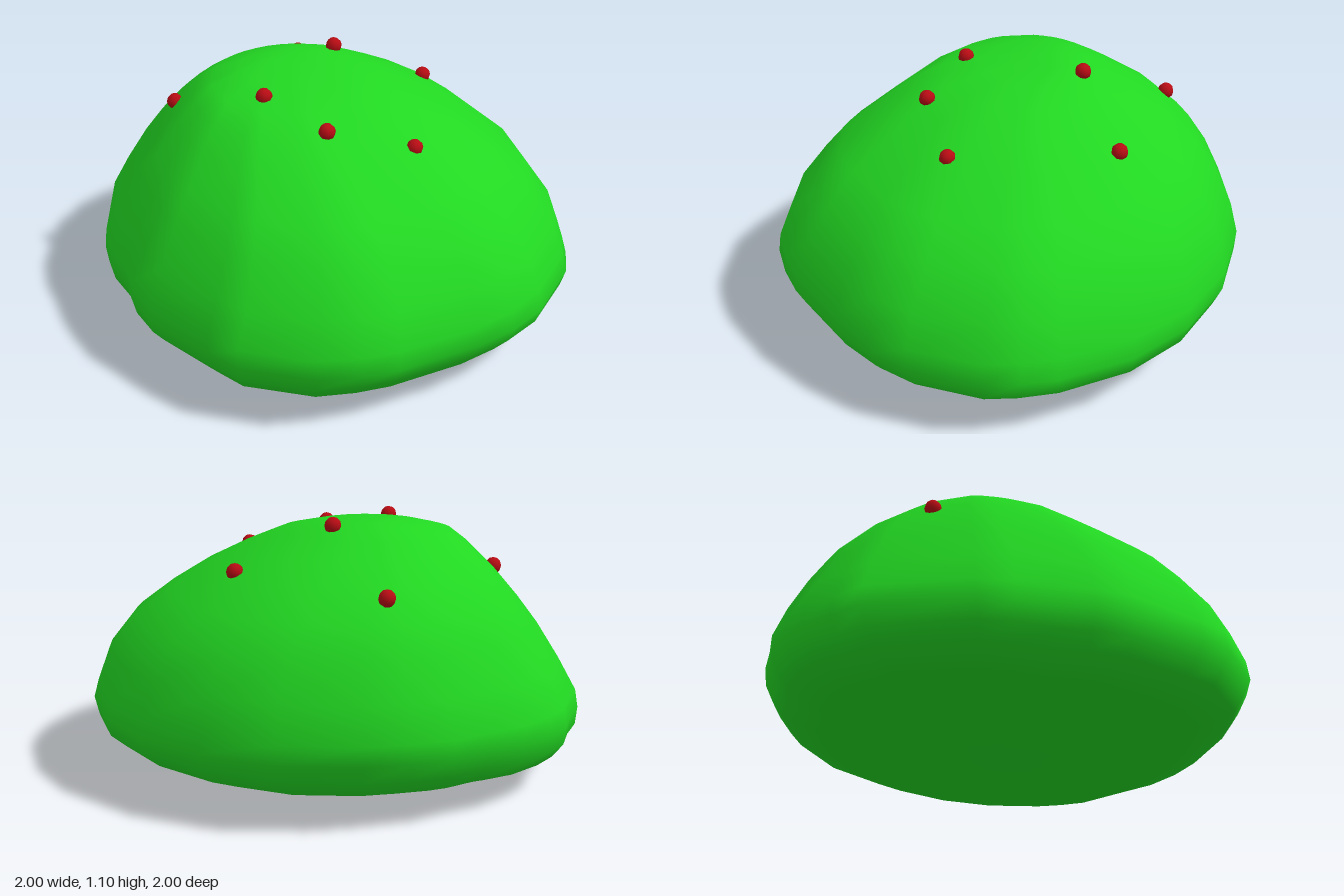
import * as THREE from 'three';

// Bumpy ground outline (x, z), running back -> +x -> front -> -x
const OUTLINE = [
  [-0.25, -1], [-0.08, -1], [0.1, -0.99], [0.42, -0.89], [0.67, -0.7], [0.86, -0.45], [0.97, -0.17],
  [1, 0.15], [0.98, 0.3], [0.94, 0.44], [0.75, 0.69], [0.6, 0.8], [0.43, 0.88], [0.1, 0.98], [-0.05, 1],
  [-0.22, 1], [-0.51, 0.88], [-0.61, 0.76], [-0.82, 0.5], [-0.88, 0.35], [-0.9, 0.22], [-0.97, 0.07],
  [-1, -0.07], [-0.99, -0.5], [-0.9, -0.62], [-0.83, -0.75], [-0.72, -0.84], [-0.57, -0.92], [-0.4, -0.95],
];

// Height, then x and z extents of each level
const LEVELS = [
  [0.067, -0.82, 0.75, -0.73, 0.73],
  [0.14, -0.94, 0.91, -0.9, 0.92],
  [0.2, -0.99, 0.98, -0.95, 0.96],
  [0.28, -1, 1, -0.99, 1],
  [0.36, -0.99, 0.98, -1, 0.99],
  [0.5, -0.92, 0.93, -0.96, 0.94],
  [0.65, -0.83, 0.82, -0.89, 0.82],
  [0.76, -0.75, 0.68, -0.82, 0.71],
  [0.87, -0.66, 0.52, -0.7, 0.53],
  [0.95, -0.58, 0.36, -0.57, 0.39],
  [1.01, -0.5, 0.23, -0.46, 0.24],
  [1.045, -0.37, 0.11, -0.38, 0.07],
  [1.063, -0.26, 0.0, -0.31, -0.12],
];

const BERRIES = [
  [-0.05, 0.85, -0.74], [-0.65, 0.86, -0.27], [0.05, 1.06, -0.3], [0.45, 0.89, -0.3],
  [-0.3, 1.035, 0.1], [-0.08, 0.98, 0.34], [0.27, 0.89, 0.36],
];

// Lofts the outline through the levels and closes it with a bottom and a top point
function foliageGeometry() {
  const n = OUTLINE.length;
  const positions = [];
  const index = [];
  LEVELS.forEach(([y, x0, x1, z0, z1], level) => {
    const round = level / (LEVELS.length - 1); // upper levels become rounder
    for (const [ox, oz] of OUTLINE) {
      const k = THREE.MathUtils.lerp(1, 1 / Math.hypot(ox, oz), round);
      positions.push((x0 + x1) / 2 + ox * k * (x1 - x0) / 2, y, (z0 + z1) / 2 + oz * k * (z1 - z0) / 2);
    }
  });
  const bottom = LEVELS.length * n;
  const top = bottom + 1;
  positions.push(-0.05, 0, 0, -0.14, 1.068, -0.22);

  for (let i = 0; i < n; i++) {
    const j = (i + 1) % n;
    for (let r = 0; r < LEVELS.length - 1; r++) {
      const a = r * n + i, b = r * n + j;
      index.push(b, a, a + n, b, a + n, b + n);
    }
    const last = (LEVELS.length - 1) * n;
    index.push(i, j, bottom, last + j, last + i, top);
  }

  const geometry = new THREE.BufferGeometry();
  geometry.setAttribute('position', new THREE.Float32BufferAttribute(positions, 3));
  geometry.setIndex(index);
  geometry.computeVertexNormals();
  return geometry;
}

export function createModel() {
  const leafGreen = new THREE.MeshStandardMaterial({ color: 0x22d822 });
  leafGreen.name = 'leafGreen';
  const berryRed = new THREE.MeshStandardMaterial({ color: 0xb80c14 });
  berryRed.name = 'berryRed';

  const bush = new THREE.Group();
  bush.name = 'bush';

  const foliage = new THREE.Mesh(foliageGeometry(), leafGreen);
  foliage.name = 'foliage';
  bush.add(foliage);

  // Berries scattered over the crown
  const berryGeometry = new THREE.SphereGeometry(0.035, 8, 6);
  BERRIES.forEach((position, i) => {
    const berry = new THREE.Mesh(berryGeometry, berryRed);
    berry.name = `berry${i + 1}`;
    berry.position.set(...position);
    bush.add(berry);
  });

  return bush;
}
